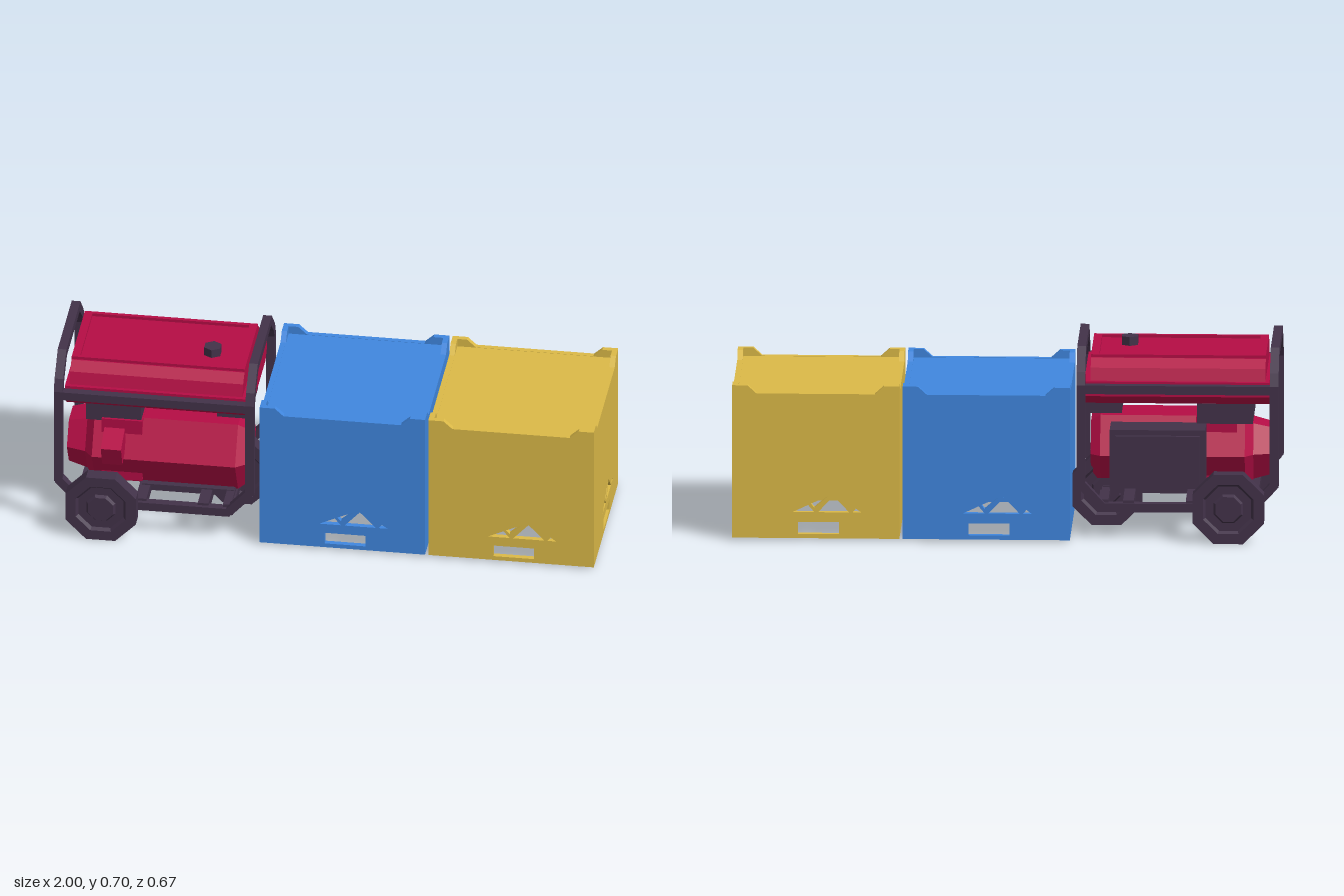
import * as THREE from 'three';

const mat = (c) => new THREE.MeshStandardMaterial({ color: c, flatShading: true });
const V = (x, y, z) => new THREE.Vector3(x, y, z);
const poly = (pts) => pts.map(([x, y]) => new THREE.Vector2(x, y));

export function createModel() {
  const model = new THREE.Group();
  const red = mat(0xb50d45), dark = mat(0x423249);
  const blue = mat(0x4087df), yellow = mat(0xdcba48);

  const add = (parent, name, geo, material, x = 0, y = 0, z = 0) => {
    const m = new THREE.Mesh(geo, material);
    m.name = name;
    m.position.set(x, y, z);
    parent.add(m);
    return m;
  };
  const box = (parent, name, material, x0, x1, y0, y1, z0, z1) =>
    add(parent, name, new THREE.BoxGeometry(x1 - x0, y1 - y0, z1 - z0), material,
      (x0 + x1) / 2, (y0 + y1) / 2, (z0 + z1) / 2);
  // Profile drawn in (z, y), run along x from x0 to x1
  const alongX = (pts, x0, x1) => {
    const g = new THREE.ExtrudeGeometry(new THREE.Shape(poly(pts)), { depth: x1 - x0, bevelEnabled: false });
    return g.rotateY(-Math.PI / 2).translate(x1, 0, 0);
  };
  const mirrored = (half) => [...half, ...half.map(([z, y]) => [-z, y]).reverse()];
  // Square bar between two points
  const beam = (parent, name, a, b, w = 0.032) => {
    const m = add(parent, name, new THREE.BoxGeometry(w, w, a.distanceTo(b)), dark);
    m.position.copy(a).add(b).multiplyScalar(0.5);
    m.lookAt(b);
    return m;
  };

  // ---- Crates: four pierced walls with raised corners, closed top, open bottom
  const W = 0.306, T = 0.02, ear = 0.25, foot = 0.217;
  const holes = [
    [[-0.065, 0.026], [0.085, 0.026], [0.085, 0.071], [-0.065, 0.071]],
    [[-0.085, 0.108], [-0.005, 0.108], [-0.028, 0.135]],
    [[0.008, 0.108], [0.123, 0.108], [0.065, 0.169]],
    [[0.135, 0.108], [0.167, 0.108], [0.147, 0.123]],
    [[-0.018, 0.14], [-0.005, 0.125], [0.045, 0.168]],
  ];
  const crate = (name, material, x) => {
    const g = new THREE.Group();
    g.name = name;
    g.position.set(x, 0, -0.025);
    const shape = new THREE.Shape(poly([[-W, 0.01], [W, 0.01], [W, 0.583], [ear, 0.583], [foot, 0.553],
      [-foot, 0.553], [-ear, 0.583], [-W, 0.583]]));
    shape.holes = holes.map((h) => new THREE.Path(poly(h)));
    const wall = new THREE.ExtrudeGeometry(shape, { depth: T, bevelEnabled: false }).translate(0, 0, W - T);
    for (let i = 0; i < 4; i++) add(g, 'crateWall', wall, material).rotation.y = i * Math.PI / 2;
    box(g, 'crateLid', material, -W + T, W - T, 0.535, 0.552, -W + T, W - T);
    box(g, 'crateLiner', material, -W, -W + 0.003, 0.015, 0.2, -0.2, 0.2);
    model.add(g);
  };
  crate('blueCrate', blue, 0.068);
  crate('yellowCrate', yellow, 0.692);

  // ---- Generator
  const gen = new THREE.Group();
  gen.name = 'generator';
  model.add(gen);

  // Tubular frame: two end hoops, side rails and cross bars
  const hoop = mirrored([[0.275, 0.2], [0.275, 0.58], [0.255, 0.625], [0.175, 0.704]]);
  const inner = mirrored([[0.242, 0.2], [0.242, 0.575], [0.228, 0.607], [0.16, 0.671]]);
  const hoopPts = [...hoop, ...inner.reverse()];
  for (const [x0, dir] of [[-1, 1], [-0.292, -1]]) {
    add(gen, 'frameHoop', alongX(hoopPts, x0, x0 + 0.032), dark);
    const x = x0 + 0.016;
    for (const z of [-0.258, 0.258])
      beam(gen, 'frameBend', V(x, 0.207, z), V(x + dir * 0.08, 0.12, z));
    beam(gen, 'crossBar', V(x + dir * 0.08, 0.12, -0.26), V(x + dir * 0.08, 0.12, 0.26));
  }
  for (const z of [-0.258, 0.258]) {
    beam(gen, 'topRail', V(-0.99, 0.563, z), V(-0.27, 0.563, z));
    beam(gen, 'bottomRail', V(-0.91, 0.12, z), V(-0.35, 0.12, z));
  }
  for (const x of [-0.68, -0.45]) beam(gen, 'engineMount', V(x, 0.125, -0.26), V(x, 0.125, 0.26), 0.04);

  // Fuel tank with flange, stepped rim, sunken panel and cap
  add(gen, 'tankBase', alongX(mirrored([[0.2, 0.497], [0.235, 0.53], [0.235, 0.585]]), -0.965, -0.287), red);
  add(gen, 'tankBody', alongX(mirrored([[0.222, 0.58], [0.205, 0.63], [0.17, 0.66]]), -0.95, -0.31), red);
  const rim = new THREE.Shape(poly([[-0.95, -0.165], [-0.31, -0.165], [-0.31, 0.165], [-0.95, 0.165]]));
  rim.holes = [new THREE.Path(poly([[-0.92, -0.15], [-0.34, -0.15], [-0.34, 0.15], [-0.92, 0.15]]))];
  add(gen, 'tankRim', new THREE.ExtrudeGeometry(rim, { depth: 0.012, bevelEnabled: false })
    .rotateX(-Math.PI / 2), red, 0, 0.659, 0);
  add(gen, 'fuelCap', new THREE.CylinderGeometry(0.034, 0.034, 0.035, 6), dark, -0.445, 0.675, 0.05);

  // Engine: six-sided casing stepped along x
  const hexProfile = [[0, -0.97], [0.1, -0.97], [0.12, -0.9], [0.157, -0.87], [0.157, -0.34], [0.13, -0.305], [0, -0.305]];
  const casing = new THREE.LatheGeometry(poly(hexProfile), 6)
    .rotateY(Math.PI / 2).rotateZ(-Math.PI / 2).rotateX(Math.PI / 6);
  // Turn so that a flat side faces up
  casing.computeBoundingBox();
  const size = casing.boundingBox.getSize(V(0, 0, 0));
  if (size.y > size.z) casing.rotateX(Math.PI / 6);
  add(gen, 'engineCasing', casing, red, 0, 0.275, 0.05);
  box(gen, 'engineBand', red, -0.84, -0.69, 0.16, 0.413, -0.06, 0.16);
  const outlet = box(gen, 'engineOutlet', red, -0.825, -0.75, 0.29, 0.38, 0.17, 0.27);
  outlet.rotation.x = 0.4;

  // Dark fittings around the engine
  const airPts = [[-0.11, 0.4], [0.15, 0.4], [0.15, 0.475], [0.13, 0.492], [-0.09, 0.492], [-0.11, 0.475]];
  add(gen, 'airFilter', alongX(airPts, -0.9, -0.695), dark);
  box(gen, 'controlBox', dark, -0.42, -0.3, 0.435, 0.53, -0.1, 0.12);
  box(gen, 'silencer', dark, -0.73, -0.38, 0.18, 0.4, -0.22, -0.09);
  box(gen, 'silencerCover', dark, -0.71, -0.4, 0.2, 0.38, -0.235, -0.22);
  box(gen, 'engineFoot', dark, -0.69, -0.35, 0.125, 0.15, -0.06, 0.16);

  // Eight-sided wheels: a pair on an axle and one central wheel
  const wheel = (name, x, z, w) => {
    const h = w / 2;
    const prof = [[0, -h], [0.05, -h], [0.058, -h + 0.012], [0.09, -h + 0.012], [0.1, -h], [0.141, -h],
      [0.141, h], [0.1, h], [0.09, h - 0.012], [0.058, h - 0.012], [0.05, h], [0, h]];
    const g = new THREE.LatheGeometry(poly(prof), 8, Math.PI / 8).rotateX(Math.PI / 2);
    add(gen, name, g, dark, x, 0.132, z);
  };
  wheel('leftWheel', -0.818, 0.308, 0.056);
  wheel('rightWheel', -0.818, -0.308, 0.056);
  wheel('centreWheel', -0.362, -0.025, 0.056);
  beam(gen, 'axle', V(-0.818, 0.132, -0.3), V(-0.818, 0.132, 0.3), 0.03);
  beam(gen, 'centreAxle', V(-0.362, 0.132, -0.26), V(-0.362, 0.132, 0.26), 0.03);
  return model;
}
